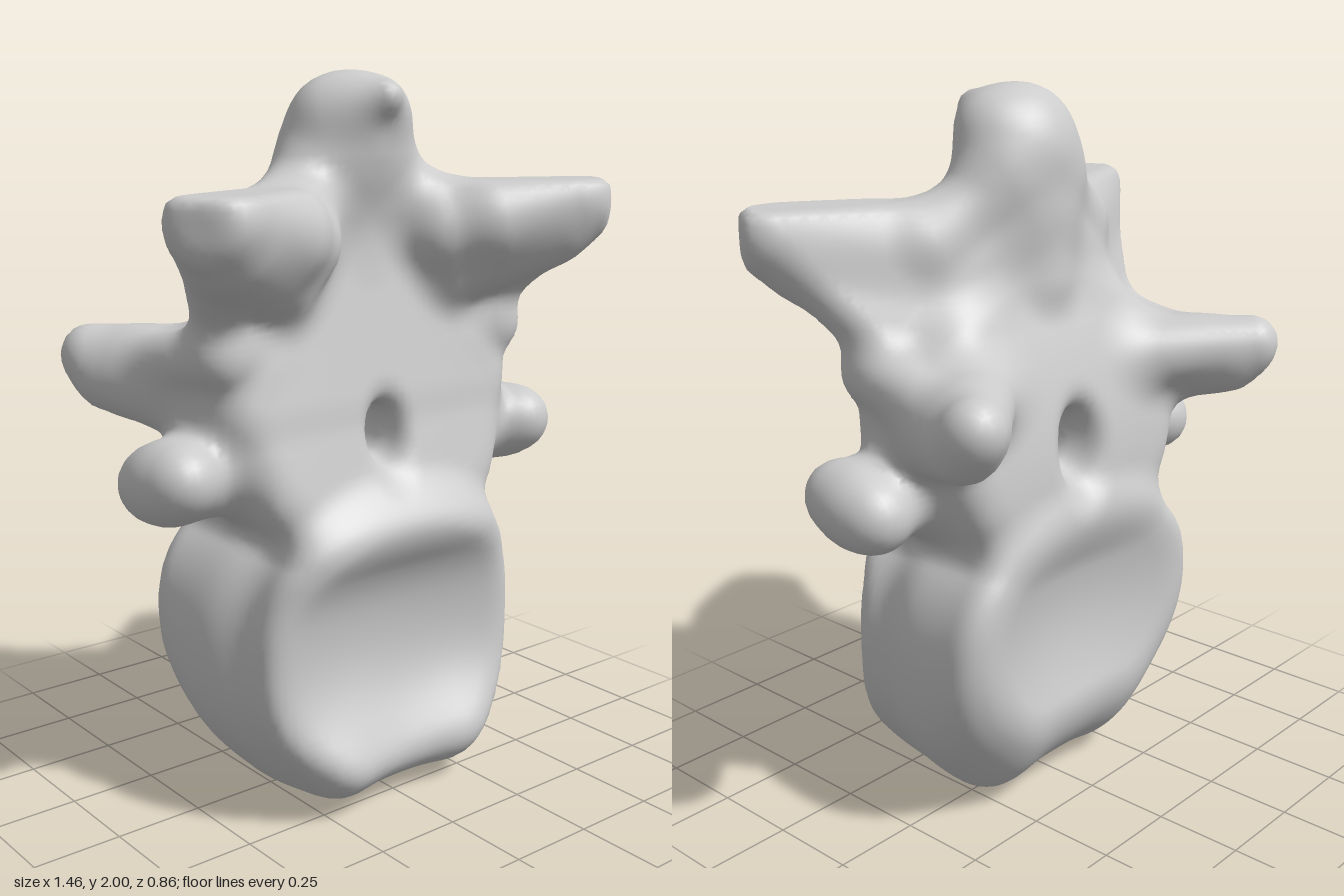
import * as THREE from 'three';

const V = (x, y, z) => new THREE.Vector3(x, y, z);
const tmp = V(0, 0, 0);
const bell = (t, w) => Math.exp(-(t * t) / (w * w));
const ramp2 = (t) => Math.max(0, t) ** 2;

// Smooth union and smooth intersection of two distances
function smin(a, b, k) {
  const h = Math.max(k - Math.abs(a - b), 0) / k;
  return Math.min(a, b) - h * h * k * 0.25;
}
const smax = (a, b, k) => -smin(-a, -b, k);

// Tapered rod between two points
function rod(a, b, ra, rb) {
  const line = new THREE.Line3(a, b);
  return (p) => {
    const t = line.closestPointToPointParameter(p, true);
    return line.at(t, tmp).distanceTo(p) - (ra + (rb - ra) * t);
  };
}
// Rounded triangular plate
function plate(a, b, c, r) {
  const tri = new THREE.Triangle(a, b, c);
  return (p) => tri.closestPointToPoint(p, tmp).distanceTo(p) - r;
}
function ellipsoid(c, r) {
  return (p) => {
    const x = (p.x - c.x) / r.x, y = (p.y - c.y) / r.y, z = (p.z - c.z) / r.z;
    return (Math.hypot(x, y, z) - 1) * Math.min(r.x, r.y, r.z);
  };
}
const join = (k, ...fs) => (p) => fs.reduce((d, f) => smin(d, f(p), k), 10);

// Soft dish, deepest at its centre
const dish = (x, y, rx, ry) => Math.max(0, 1 - (x / rx) ** 2 - (y / ry) ** 2) ** 1.4;

// Drum-shaped body with a dished face at the front and at the back
function bodyField(p) {
  const { x, y, z } = p;
  const low = 0.03 + 3.6 * ramp2(0.02 - z) + 1.2 * ramp2(z - 0.1) - 0.045 * bell(x - 0.23, 0.1);
  const top = 0.9, mid = (top + low) / 2, half = (top - low) / 2;
  const w = 0.5 - 0.3 * (z + 0.08) ** 2 - 0.04 * bell(z - 0.16, 0.09);
  const r = (Math.abs(x / w) ** 2.3 + Math.abs((y - mid) / half) ** 2.3) ** (1 / 2.3);
  const lip = (0.06 + 0.03 * bell(x - 0.22, 0.13)) * bell(y - 0.13, 0.17);
  const front = 0.295 + lip + 0.05 * bell(y - 0.8, 0.12) - 0.065 * dish(x, y - 0.44, 0.44, 0.38);
  const back = 0.25 - 0.085 * dish(x, y - 0.55, 0.44, 0.38);
  return smax((r - 1) * half * 0.9, smax(z - front, -z - back, 0.05), 0.1);
}

// Block of the arch, narrowing towards the body and towards the spine
function archField(p) {
  const w = 0.49 - 0.8 * ramp2(1.2 - p.y) - 2 * ramp2(p.y - 1.2);
  const front = 0.255 - 0.25 * (p.y - 0.95), back = 0.21 - 0.45 * ramp2(p.y - 0.9);
  const sides = smax(p.x - w, Math.abs(p.y - 1.18) - 0.43, 0.15);
  return smax(sides, smax(p.z - front, -p.z - back, 0.06), 0.13);
}

// Wing: thin at the back, bulging forward, with a flat top and a cut tip
const wingShape = join(0.07,
  plate(V(0.06, 1.66, 0.02), V(0.64, 1.67, 0.315), V(0.45, 1.37, 0.1), 0.075),
  rod(V(0.26, 1.58, 0.14), V(0.63, 1.65, 0.325), 0.13, 0.1),
  rod(V(0.36, 1.61, 0.24), V(0.56, 1.66, 0.33), 0.11, 0.09),
  rod(V(0.3, 1.46, 0.14), V(0.55, 1.57, 0.29), 0.085, 0.085));
const wingField = (p) => smax(smax(wingShape(p), p.y - 1.722, 0.02), p.x * 0.81 + p.z * 0.59 - 0.775, 0.03);

// Every part is a field over x >= 0, mirrored to the other side
const parts = [
  { name: 'body', field: bodyField },
  { name: 'arch', field: archField },
  { name: 'lamina', field: plate(V(0, 1.66, 0.01), V(0.4, 1.15, 0.09), V(-0.4, 1.15, 0.09), 0.09) },
  {
    name: 'spine',
    field: join(0.1,
      ellipsoid(V(0, 1.8, 0.045), V(0.195, 0.16, 0.125)),
      ellipsoid(V(0, 1.89, 0.05), V(0.125, 0.105, 0.11)),
      rod(V(0, 1.5, 0), V(0, 1.8, 0.03), 0.1, 0.115),
      rod(V(0.1, 1.74, 0.03), V(0.3, 1.62, 0.1), 0.08, 0.08),
      plate(V(-0.09, 1.91, 0.08), V(0.09, 1.91, 0.08), V(0, 1.945, 0.21), 0.038)),
  },
  { name: 'Wing', pair: true, field: wingField },
  {
    name: 'RearProcess', pair: true,
    field: join(0.07,
      rod(V(0.22, 1.22, 0.0), V(0.585, 1.26, -0.34), 0.12, 0.083),
      plate(V(0.3, 1.25, 0.02), V(0.48, 1.3, 0.12), V(0.52, 1.24, -0.2), 0.08),
      rod(V(0.42, 1.14, 0.04), V(0.565, 1.195, -0.28), 0.1, 0.085)),
  },
  {
    name: 'SideProcess', pair: true,
    field: join(0.06,
      rod(V(0.6, 0.998, 0.13), V(0.6, 0.965, -0.005), 0.09, 0.093),
      rod(V(0.36, 0.98, 0.04), V(0.59, 0.98, 0.06), 0.12, 0.107)),
  },
];

// Flared canal through the arch
function canal(p) {
  const r = 0.048 + 0.2 * Math.max(0, p.z - 0.14) + 0.35 * Math.max(0, -p.z - 0.08);
  return Math.hypot(p.x, (p.y - 1.055) * 0.68) - r;
}

const q = V(0, 0, 0);
function field(x, y, z) {
  q.set(Math.abs(x), y, z);
  const d = parts.reduce((m, s) => smin(m, s.field(q), 0.07), 10);
  return smax(d, -canal(q), 0.05);
}

function partAt(x, y, z) {
  q.set(Math.abs(x), y, z);
  let best = parts[0], bd = 10;
  for (const s of parts) {
    const d = s.field(q);
    if (d < bd) { bd = d; best = s; }
  }
  return best.pair ? (x > 0 ? 'left' : 'right') + best.name : best.name;
}

// Skin the blended fields on a regular grid; returns points and quads
function skin() {
  const h = 0.022, n = [74, 98, 46], o = [-0.814, -0.06, -0.506];
  const at = (i, j, k) => (k * n[1] + j) * n[0] + i;
  const val = new Float32Array(n[0] * n[1] * n[2]);
  for (let k = 0; k < n[2]; k++) for (let j = 0; j < n[1]; j++) for (let i = 0; i < n[0]; i++)
    val[at(i, j, k)] = field(o[0] + i * h, o[1] + j * h, o[2] + k * h);

  const step = [1, n[0], n[0] * n[1]];
  const ids = new Int32Array(val.length).fill(-1), points = [], quads = [];
  const each = (fn) => {
    for (let k = 1; k < n[2] - 1; k++) for (let j = 1; j < n[1] - 1; j++) for (let i = 1; i < n[0] - 1; i++) fn(i, j, k);
  };
  // One point per crossed cell, at the mean of its edge crossings
  each((i, j, k) => {
    const c = at(i, j, k), sum = [0, 0, 0];
    let count = 0;
    for (let a = 0; a < 3; a++) {
      const b = (a + 1) % 3, d = (a + 2) % 3;
      for (let m = 0; m < 4; m++) {
        const u = m & 1, v = m >> 1, s = c + u * step[b] + v * step[d];
        const f0 = val[s], f1 = val[s + step[a]];
        if ((f0 < 0) === (f1 < 0)) continue;
        sum[a] += f0 / (f0 - f1); sum[b] += u; sum[d] += v; count++;
      }
    }
    if (!count) return;
    ids[c] = points.length;
    points.push(V(...[i, j, k].map((g, a) => o[a] + (g + sum[a] / count) * h)));
  });
  // One quad per crossed grid edge
  each((i, j, k) => {
    const c = at(i, j, k);
    for (let a = 0; a < 3; a++) {
      const inside = val[c] < 0;
      if (inside === (val[c + step[a]] < 0)) continue;
      const b = step[(a + 1) % 3], d = step[(a + 2) % 3];
      const quad = [ids[c - b - d], ids[c - d], ids[c], ids[c - b]];
      quads.push(inside ? quad : quad.reverse());
    }
  });
  return { points, quads };
}

export function createModel() {
  const model = new THREE.Group();
  model.name = 'vertebra';
  const { points, quads } = skin();
  const e = 0.012;
  const normals = points.map(({ x, y, z }) => V(
    field(x + e, y, z) - field(x - e, y, z),
    field(x, y + e, z) - field(x, y - e, z),
    field(x, y, z + e) - field(x, y, z - e)).normalize());
  const box = new THREE.Box3().setFromPoints(points);
  const midZ = (box.min.z + box.max.z) / 2;

  // Sort the quads by the part they belong to
  const groups = {};
  for (const quad of quads) {
    const c = V(0, 0, 0);
    quad.forEach((v) => c.addScaledVector(points[v], 0.25));
    (groups[partAt(c.x, c.y, c.z)] ??= []).push(quad);
  }
  const material = new THREE.MeshStandardMaterial({ color: 0xcccccc });
  for (const [name, list] of Object.entries(groups)) {
    const map = new Map(), pos = [], nor = [], index = [];
    const use = (v) => {
      if (!map.has(v)) {
        map.set(v, map.size);
        const p = points[v];
        pos.push(p.x, p.y - box.min.y, p.z - midZ);
        nor.push(...normals[v].toArray());
      }
      return map.get(v);
    };
    for (const quad of list) {
      const [a, b, c, d] = quad.map(use);
      index.push(a, b, c, a, c, d);
    }
    const geo = new THREE.BufferGeometry();
    geo.setAttribute('position', new THREE.Float32BufferAttribute(pos, 3));
    geo.setAttribute('normal', new THREE.Float32BufferAttribute(nor, 3));
    geo.setIndex(index);
    const mesh = new THREE.Mesh(geo, material);
    mesh.name = name;
    model.add(mesh);
  }
  return model;
}
